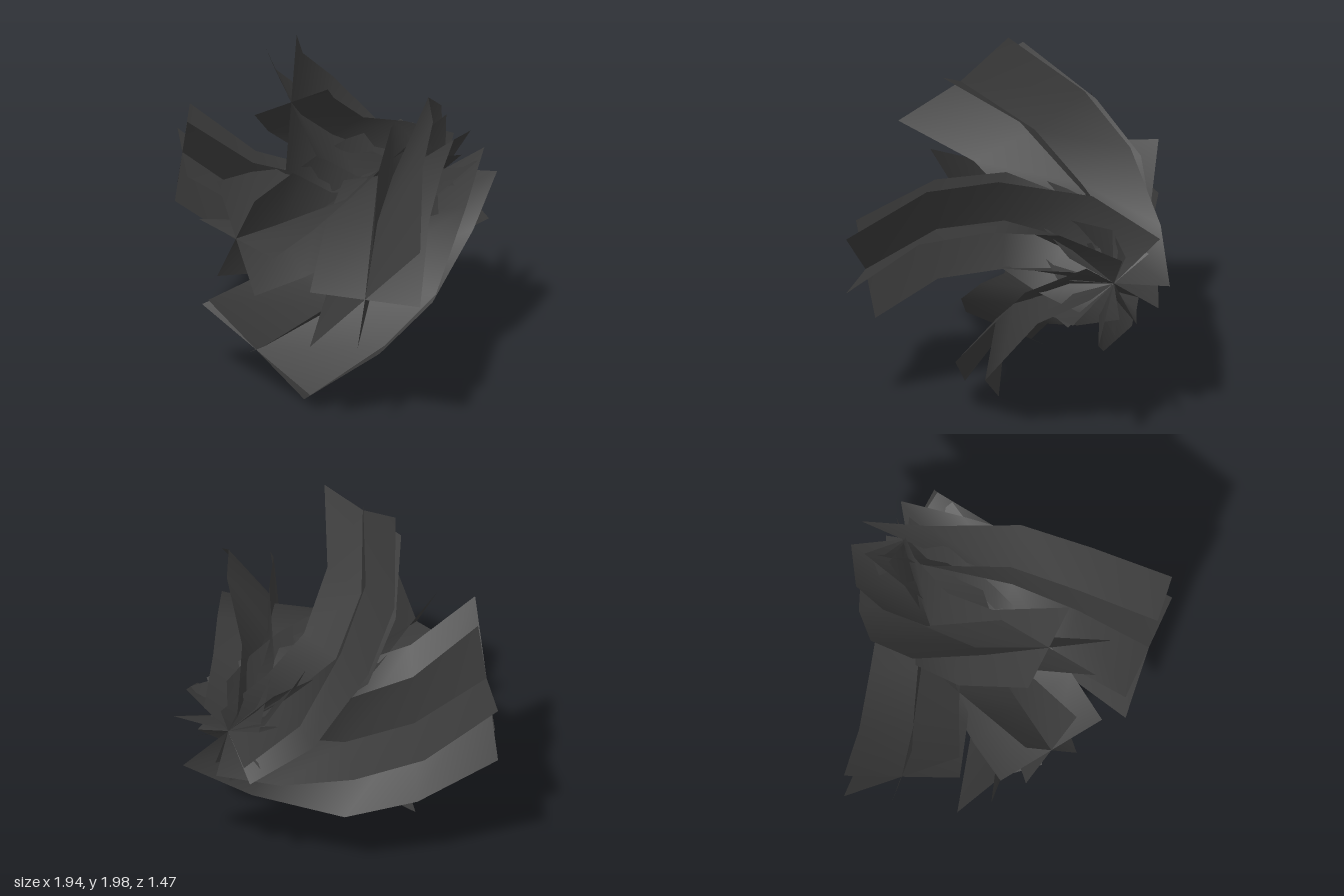
import * as THREE from 'three';

const material = new THREE.MeshStandardMaterial({ color: 0x3a3a3a, side: THREE.DoubleSide });
const Z = new THREE.Vector3(0, 0, 1);
const vec = (a) => new THREE.Vector3(...a);

// Strip swept along a path; its half width vector turns about z and scales at each ring
function ribbon(path, half, turns, scales) {
  const positions = [], index = [];
  path.forEach((p, i) => {
    const side = vec(half).applyAxisAngle(Z, THREE.MathUtils.degToRad(turns[i]));
    for (const k of [-1, 0, 1]) positions.push(...vec(p).addScaledVector(side, k * scales[i]).toArray());
    if (i === 0) return;
    for (const c of [0, 1]) {
      const a = (i - 1) * 3 + c, b = i * 3 + c;
      index.push(a, a + 1, b, b, a + 1, b + 1);
    }
  });
  const geometry = new THREE.BufferGeometry();
  geometry.setAttribute('position', new THREE.Float32BufferAttribute(positions, 3));
  geometry.setIndex(index);
  geometry.computeVertexNormals();
  return new THREE.Mesh(geometry, material);
}

// Three ribbons crossing along one spine
function blades(name, path, halves, turns, scales) {
  const group = new THREE.Group();
  group.name = name;
  halves.forEach((half, i) => {
    const mesh = ribbon(path, half, turns, scales);
    mesh.name = `${name}Blade${i + 1}`;
    group.add(mesh);
  });
  return group;
}

export function createModel() {
  const model = new THREE.Group();
  model.name = 'swirlingPlant';
  const whorl = new THREE.Group();
  whorl.name = 'whorl';
  whorl.position.y = 1;
  model.add(whorl);

  // Curved spine of a side arm, from the shared root at the back to its tip
  const sidePath = [[0, 0, -0.58], [0.11, 0.12, -0.31], [0.27, 0.21, -0.03], [0.49, 0.12, 0.24], [0.73, -0.14, 0.51]];
  const upPath = sidePath.map(([x, y, z]) => [-y, x, z]);
  const sideTurns = [77, 52, 14, 10, 0];
  const upTurns = [65, 46, 9, 7, 0];
  const armScales = [0.8, 0.86, 0.9, 0.94, 1];
  const sideHalves = [[0.24, 0, -0.16], [0.06, 0.29, 0], [0.24, 0.3, -0.16]];
  const upHalves = [[-0.17, 0.26, -0.17], [0.18, 0.11, -0.09], [-0.32, 0.16, -0.09]];

  // Two opposite pairs of arms
  for (const [i, suffix] of ['A', 'B'].entries()) {
    const side = blades(`sideArm${suffix}`, sidePath, sideHalves, sideTurns, armScales);
    const upright = blades(`uprightArm${suffix}`, upPath, upHalves, upTurns, armScales);
    side.rotation.z = upright.rotation.z = i * Math.PI;
    whorl.add(side, upright);
  }

  // Straight, twisted centre arm
  const centreTurns = [88, 70, 52, 33, 15, 0];
  const centrePath = centreTurns.map((_, i) => [0, 0, -0.58 + 1.33 * i / 5]);
  const centreHalves = [0, 60, 120].map((deg) => {
    const a = THREE.MathUtils.degToRad(deg);
    return [0.3 * Math.cos(a), 0.3 * Math.sin(a), 0];
  });
  whorl.add(blades('centreArm', centrePath, centreHalves, centreTurns, centreTurns.map(() => 1)));

  return model;
}
